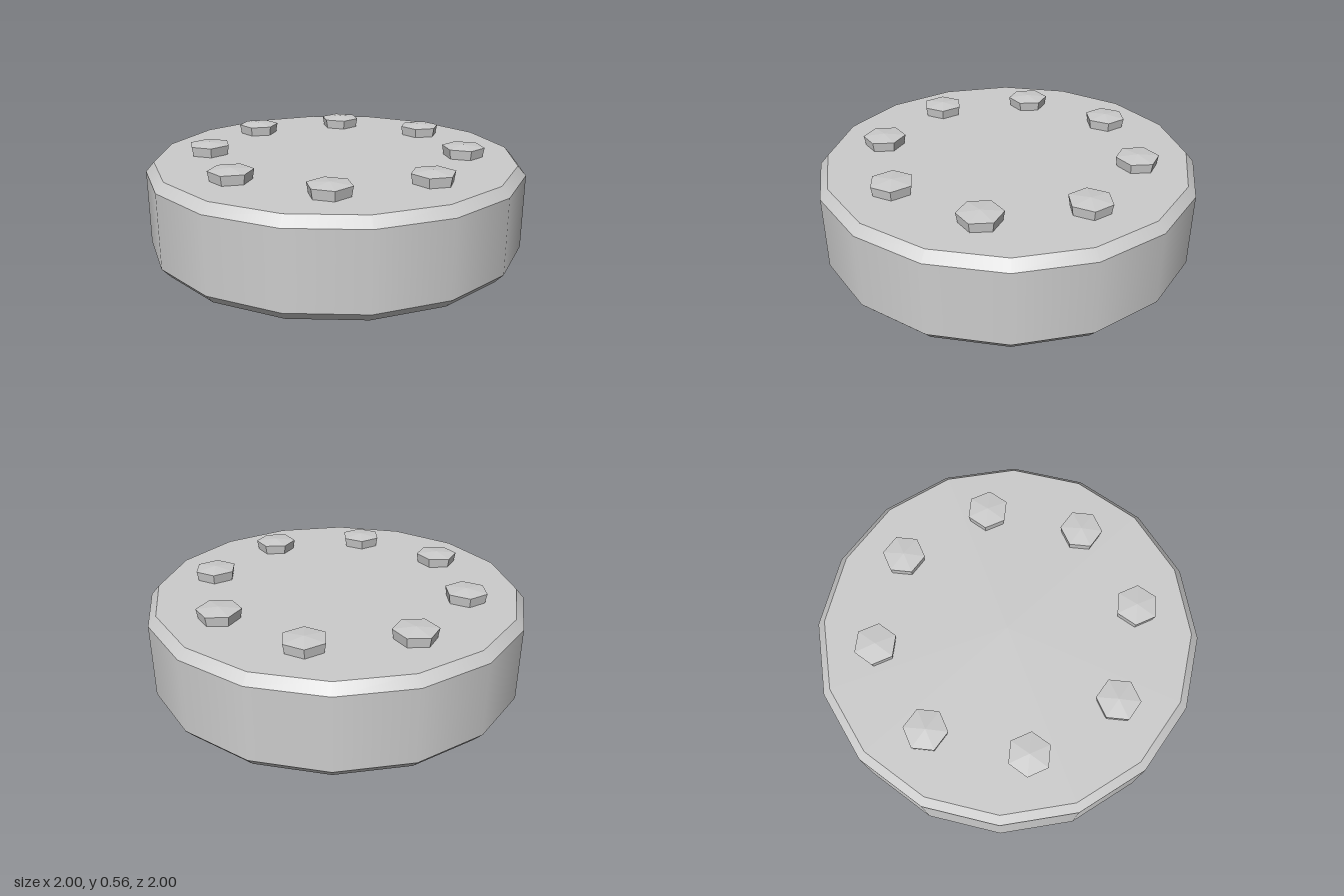
import * as THREE from 'three';

export function createModel() {
  const model = new THREE.Group();
  model.name = 'boltedDisc';
  const grey = new THREE.MeshStandardMaterial({ color: 0xcccccc });
  grey.name = 'light grey';

  const add = (parent, name, geometry, y) => {
    const mesh = new THREE.Mesh(geometry, grey);
    mesh.name = name;
    mesh.position.y = y;
    parent.add(mesh);
    return mesh;
  };

  // Sixteen-sided disc with flats on the axes; smooth bands, sharp rims
  const sides = 16, start = Math.PI / sides;
  const outer = 1 / Math.cos(start), inner = 0.957 * outer;
  const band = (top, bottom, height) =>
    new THREE.CylinderGeometry(top, bottom, height, sides, 1, true, start);
  add(model, 'bottomBevel', band(outer, inner, 0.05), 0.025);
  add(model, 'sideWall', band(outer, outer, 0.4), 0.25);
  add(model, 'topBevel', band(inner, outer, 0.05), 0.475);

  const face = () => new THREE.CircleGeometry(inner, sides, start);
  add(model, 'topFace', face().rotateX(-Math.PI / 2), 0.5);
  add(model, 'bottomFace', face().rotateX(Math.PI / 2), 0);

  // Hexagonal bolt heads: slightly flared sides and a shallow pointed cap
  const flat = (geometry) => {
    const g = geometry.toNonIndexed();
    g.computeVertexNormals();
    return g;
  };
  const headSides = flat(new THREE.CylinderGeometry(0.115, 0.106, 0.052, 6, 1, true));
  const headCap = flat(new THREE.ConeGeometry(0.115, 0.012, 6, 1, true));

  // Ring of eight bolts, every second one turned a quarter
  for (let i = 0; i < 8; i++) {
    const a = (i * Math.PI) / 4;
    const bolt = new THREE.Group();
    bolt.name = 'bolt' + (i + 1);
    add(bolt, 'boltSides', headSides, 0.026);
    add(bolt, 'boltCap', headCap, 0.058);
    bolt.position.set(0.695 * Math.cos(a), 0.5, 0.695 * Math.sin(a));
    bolt.rotation.y = i % 2 ? 0 : Math.PI / 2;
    model.add(bolt);
  }
  return model;
}
